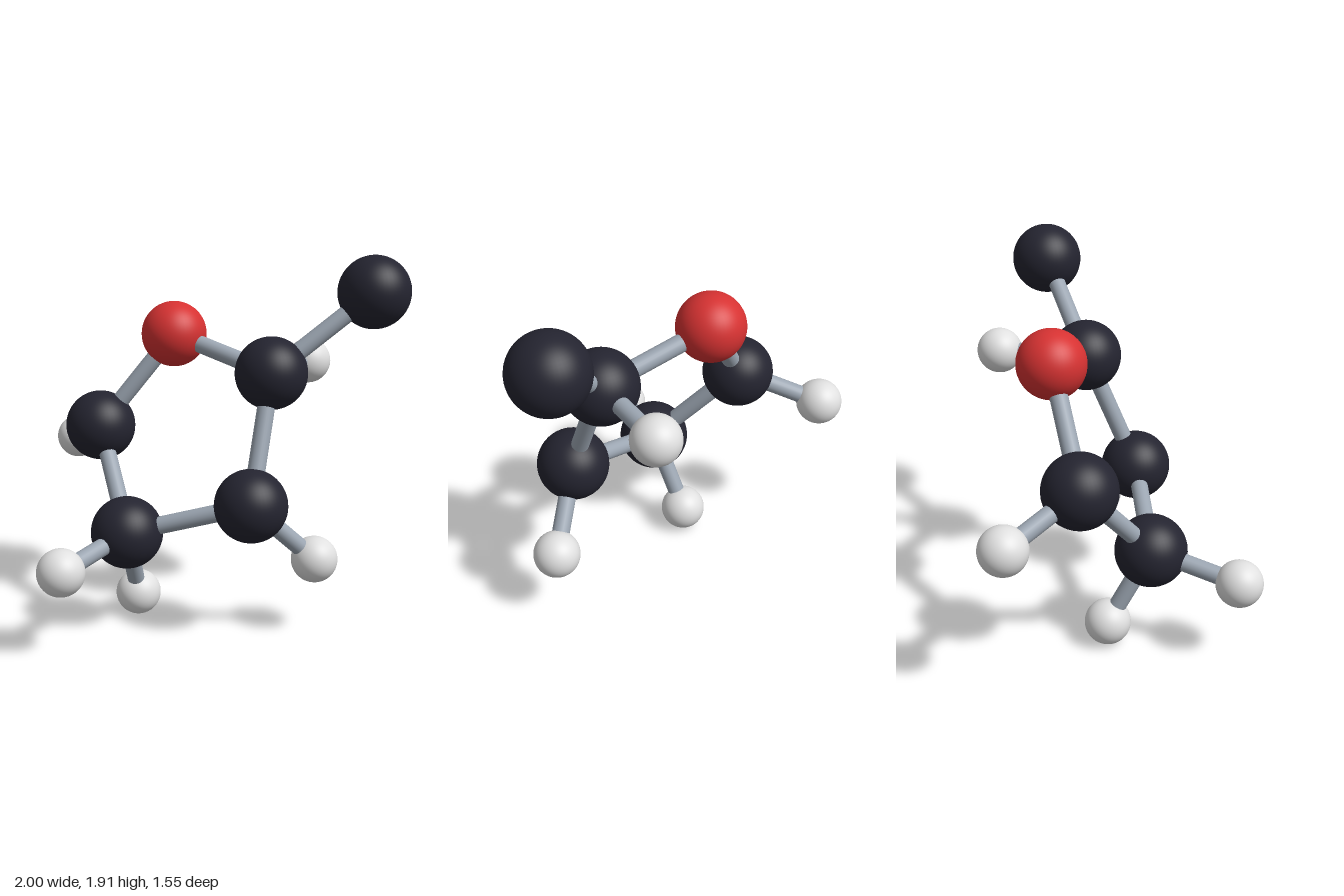
import * as THREE from 'three';

const BOND_RADIUS = 0.045;

export function createModel() {
  const model = new THREE.Group();
  model.name = 'ringMolecule';

  const material = (name, color) => {
    const m = new THREE.MeshStandardMaterial({ color });
    m.name = name;
    return m;
  };
  const bondMaterial = material('bondGrey', 0x9ca6b2);

  // Elements: one sphere and one colour each
  const element = (radius, mat) => ({ geometry: new THREE.SphereGeometry(radius, 48, 32), mat });
  const elements = {
    carbon: element(0.185, material('carbonBlack', 0x242430)),
    oxygen: element(0.172, material('oxygenRed', 0xd63232)),
    hydrogen: element(0.119, material('hydrogenWhite', 0xe0e0e0)),
  };

  // Atoms: name, element, centre
  const atoms = {};
  [
    ['ringOxygen', 'oxygen', -0.215, 1.485, -0.28],
    ['upperCarbon', 'carbon', 0.365, 1.33, -0.187],
    ['lowerCarbon', 'carbon', 0.365, 0.705, 0.08],
    ['bottomCarbon', 'carbon', -0.26, 0.525, 0.21],
    ['sideCarbon', 'carbon', -0.57, 0.995, -0.105],
    ['outerCarbon', 'carbon', 0.81, 1.73, -0.455],
    ['upperHydrogen', 'hydrogen', 0.408, 1.327, -0.657],
    ['lowerHydrogen', 'hydrogen', 0.63, 0.393, -0.143],
    ['frontHydrogen', 'hydrogen', -0.393, 0.437, 0.657],
    ['bottomHydrogen', 'hydrogen', -0.305, 0.12, -0.005],
    ['sideHydrogen', 'hydrogen', -0.883, 0.838, -0.413],
  ].forEach(([name, kind, x, y, z]) => {
    const { geometry, mat } = elements[kind];
    const atom = new THREE.Mesh(geometry, mat);
    atom.name = name;
    atom.position.set(x, y, z);
    atoms[name] = atom;
    model.add(atom);
  });

  // Bonds: rods running between atom centres
  const up = new THREE.Vector3(0, 1, 0);
  [
    ['ringOxygen', 'upperCarbon'],
    ['upperCarbon', 'lowerCarbon'],
    ['lowerCarbon', 'bottomCarbon'],
    ['bottomCarbon', 'sideCarbon'],
    ['sideCarbon', 'ringOxygen'],
    ['upperCarbon', 'outerCarbon'],
    ['upperCarbon', 'upperHydrogen'],
    ['lowerCarbon', 'lowerHydrogen'],
    ['bottomCarbon', 'frontHydrogen'],
    ['bottomCarbon', 'bottomHydrogen'],
    ['sideCarbon', 'sideHydrogen'],
  ].forEach(([from, to]) => {
    const a = atoms[from].position;
    const b = atoms[to].position;
    const axis = b.clone().sub(a);
    const bond = new THREE.Mesh(
      new THREE.CylinderGeometry(BOND_RADIUS, BOND_RADIUS, axis.length(), 24, 1, true),
      bondMaterial,
    );
    bond.name = `bond ${from} to ${to}`;
    bond.position.copy(a).add(b).multiplyScalar(0.5);
    bond.quaternion.setFromUnitVectors(up, axis.normalize());
    model.add(bond);
  });

  return model;
}
